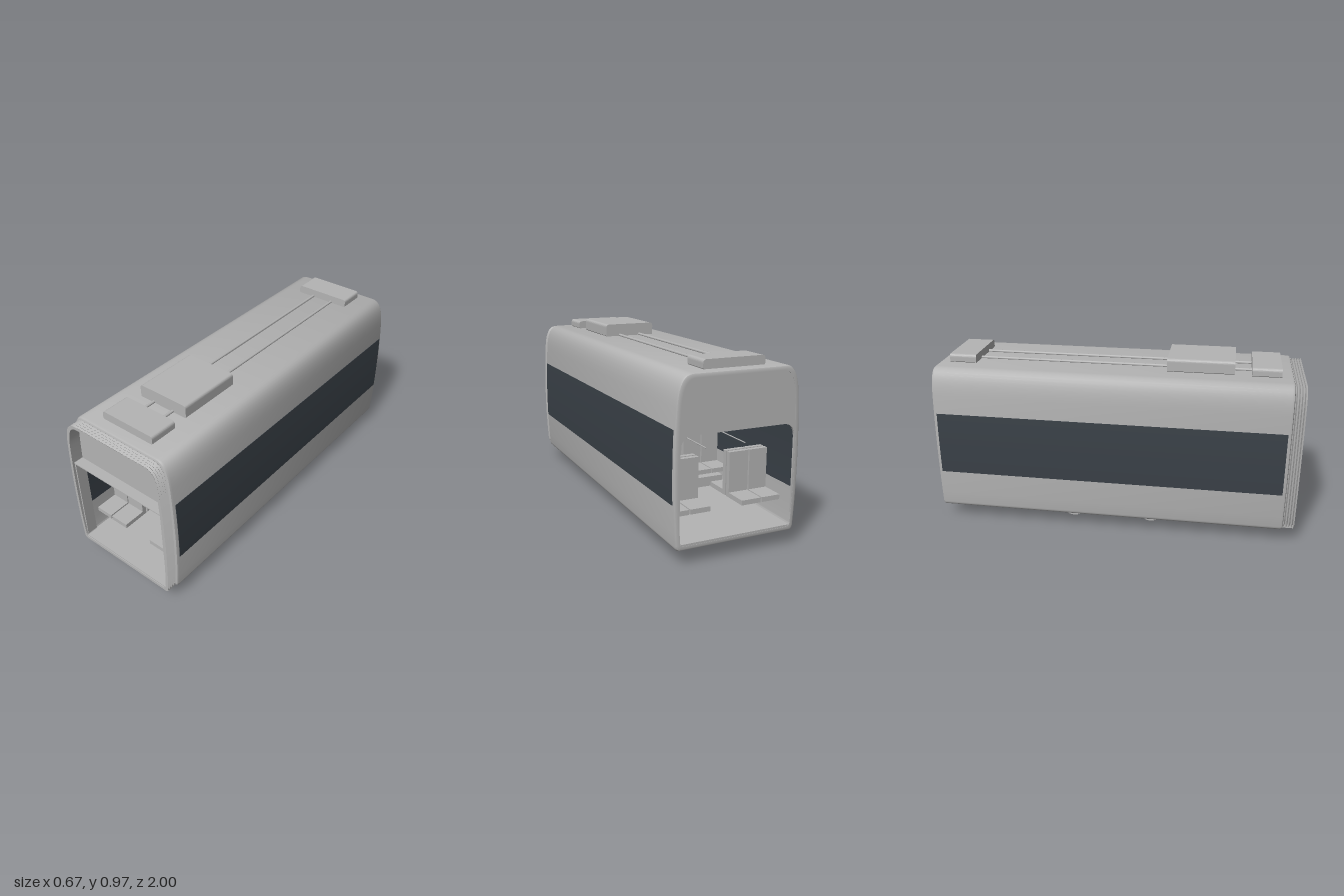
import * as THREE from 'three';
import { toCreasedNormals } from 'three/addons/utils/BufferGeometryUtils.js';

const grey = new THREE.MeshStandardMaterial({ color: 0xb4b4b4 });
grey.name = 'body grey';
const glass = new THREE.MeshStandardMaterial({ color: 0x3a4148 });
glass.name = 'dark glass';

// Body cross-section, counter-clockwise from the bottom centre
function bodyProfile() {
  const s = new THREE.Shape();
  s.moveTo(0, 0.078);
  s.lineTo(0.3, 0.078);
  s.quadraticCurveTo(0.317, 0.078, 0.32, 0.1);
  s.quadraticCurveTo(0.343, 0.42, 0.322, 0.75);
  s.bezierCurveTo(0.315, 0.86, 0.29, 0.9, 0.24, 0.9);
  s.lineTo(0, 0.9);
  const half = s.getPoints(10);
  const mirrored = half.slice(1, -1).reverse().map((p) => new THREE.Vector2(-p.x, p.y));
  return { half, full: [...half, ...mirrored] };
}
const { half, full } = bodyProfile();

const inset = (p, d) =>
  new THREE.Vector2(p.x * (1 - d / 0.333), 0.489 + (p.y - 0.489) * (1 - d / 0.411));

function halfWidth(y) {
  for (let i = 1; i < half.length; i++) {
    const a = half[i - 1], b = half[i];
    if (y >= a.y && y <= b.y && b.y > a.y) return a.x + ((b.x - a.x) * (y - a.y)) / (b.y - a.y);
  }
  return 0.3;
}

// Closed tube of body sections; each ring is [z, inset]
function loft(rings) {
  const n = full.length, pos = [], idx = [];
  for (const [z, d] of rings) {
    for (const p of full) {
      const q = inset(p, d);
      pos.push(q.x, q.y, z);
    }
  }
  for (let i = 0; i < rings.length; i++) {
    const k = (i + 1) % rings.length;
    for (let j = 0; j < n; j++) {
      const m = (j + 1) % n;
      const a = i * n + j, b = i * n + m, c = k * n + m, d = k * n + j;
      idx.push(a, b, c, a, c, d);
    }
  }
  const g = new THREE.BufferGeometry();
  g.setAttribute('position', new THREE.Float32BufferAttribute(pos, 3));
  g.setIndex(idx);
  return toCreasedNormals(g, 0.6);
}

export function createModel() {
  const model = new THREE.Group();
  model.name = 'tramSection';

  const add = (name, geo, mat = grey, parent = model) => {
    const m = new THREE.Mesh(geo, mat);
    m.name = name;
    parent.add(m);
    return m;
  };
  // Box given by its limits
  const box = (name, x0, x1, y0, y1, z0, z1, mat, parent) =>
    add(name, new THREE.BoxGeometry(x1 - x0, y1 - y0, z1 - z0), mat, parent)
      .position.set((x0 + x1) / 2, (y0 + y1) / 2, (z0 + z1) / 2);
  const cylinder = (name, r, length, axis, x, y, z, sides = 24) => {
    const g = new THREE.CylinderGeometry(r, r, length, sides);
    if (axis === 'x') g.rotateZ(Math.PI / 2);
    if (axis === 'z') g.rotateX(Math.PI / 2);
    add(name, g).position.set(x, y, z);
  };
  const extrude = (name, shape, z0, z1, mat) =>
    add(name, new THREE.ExtrudeGeometry(shape, { depth: z1 - z0, bevelEnabled: false, curveSegments: 8 }), mat)
      .position.z = z0;

  // Hollow body with softened ends
  add('bodyShell', loft([
    [-1, 0.01], [-0.997, 0.004], [-0.988, 0], [0.926, 0], [0.936, 0.004], [0.94, 0.012],
    [0.94, 0.022], [-1, 0.022],
  ]));

  // Folded gangway bellows
  const folds = [];
  for (let i = 0; i <= 10; i++) folds.push([0.93 + i * 0.007, i % 2 ? 0.018 : 0.01]);
  add('bellows', loft([...folds, [1, 0.026], [0.93, 0.026]]));

  // End bulkheads with a rounded opening
  for (const [name, z] of [['rearBulkhead', -0.999], ['frontBulkhead', 0.925]]) {
    const s = new THREE.Shape(full.map((p) => inset(p, 0.012)));
    const h = new THREE.Path();
    h.moveTo(-0.302, 0.11);
    h.lineTo(0.302, 0.11);
    h.lineTo(0.302, 0.55);
    h.quadraticCurveTo(0.3, 0.62, 0.24, 0.62);
    h.lineTo(-0.24, 0.62);
    h.quadraticCurveTo(-0.3, 0.62, -0.302, 0.55);
    s.holes.push(h);
    extrude(name, s, z, z + 0.01);
  }

  // Gangway liner and floor
  for (const s of [-1, 1]) {
    const x = s * 0.296;
    box('gangwaySide', x - 0.004, x + 0.004, 0.11, 0.614, 0.93, 0.99);
  }
  box('gangwayTop', -0.31, 0.31, 0.614, 0.62, 0.93, 0.99);
  box('floor', -0.305, 0.305, 0.09, 0.11, -0.995, 0.995);

  // Window bands, outside and inside
  for (const s of [-1, 1]) {
    for (const [name, a, b] of [['outerWindow', -0.005, 0.002], ['innerWindow', -0.025, -0.018]]) {
      const near = [], far = [];
      for (let i = 0; i <= 10; i++) {
        const y = 0.3 + 0.035 * i;
        near.push(new THREE.Vector2(s * (halfWidth(y) + a), y));
        far.unshift(new THREE.Vector2(s * (halfWidth(y) + b), y));
      }
      extrude(name, new THREE.Shape([...near, ...far]), -0.98, 0.92, glass);
    }
  }

  // Roof equipment
  const roofUnit = (name, w, y1, z0, z1) => {
    const r = 0.018, y0 = 0.895, s = new THREE.Shape();
    s.moveTo(-w + r / 2, y0);
    s.lineTo(w - r / 2, y0);
    s.lineTo(w, y0 + r / 2);
    s.lineTo(w, y1 - r);
    s.quadraticCurveTo(w, y1, w - r, y1);
    s.lineTo(-w + r, y1);
    s.quadraticCurveTo(-w, y1, -w, y1 - r);
    s.lineTo(-w, y0 + r / 2);
    extrude(name, s, z0, z1);
  };
  roofUnit('frontRoofBox', 0.163, 0.945, 0.72, 0.875);
  roofUnit('rearRoofBox', 0.163, 0.945, -0.94, -0.79);
  roofUnit('airConditioner', 0.15, 0.97, 0.27, 0.63);
  for (const x of [-0.063, 0.063]) cylinder('roofPipe', 0.008, 1.52, 'z', x, 0.905, -0.035, 12);

  // Seats, back to back; dir is the way the seat faces
  const seat = (x0, x1, z, dir) => {
    const g = new THREE.Group();
    g.name = 'seat';
    box('cushion', x0, x1, 0.205, 0.23, 0, 0.125, grey, g);
    box('backrest', x0, x1, 0.205, 0.44, -0.025, 0, grey, g);
    g.position.z = z;
    g.scale.z = dir;
    model.add(g);
  };
  for (const z of [0.735, 0.2, -0.25, -0.745]) {
    for (const [x0, x1] of [[-0.305, -0.202], [-0.195, -0.087], [0.087, 0.195], [0.202, 0.305]]) {
      seat(x0, x1, z + 0.03, 1);
      seat(x0, x1, z - 0.03, -1);
    }
  }

  // Handrails and hanging display
  for (const x of [-0.107, 0.107]) cylinder('handrail', 0.003, 1.7, 'z', x, 0.515, -0.03, 8);
  cylinder('displayHanger', 0.004, 0.29, 'y', 0, 0.74, 0, 8);
  box('displayFrame', -0.078, 0.078, 0.549, 0.6, -0.012, 0.012);
  for (const z of [-0.013, 0.013]) box('displayScreen', -0.07, 0.07, 0.555, 0.595, z - 0.002, z + 0.002, glass);

  // Running gear, with covers inside the saloon
  for (const z of [0.2, -0.25]) {
    cylinder('axle', 0.012, 0.38, 'x', 0, 0.075, z, 12);
    for (const s of [-1, 1]) {
      cylinder('wheelFlange', 0.075, 0.014, 'x', s * 0.183, 0.075, z, 32);
      cylinder('wheelTread', 0.065, 0.022, 'x', s * 0.196, 0.075, z, 32);
      cylinder('brakeDisc', 0.045, 0.014, 'x', s * 0.12, 0.075, z);
      box('axleBox', s * 0.217 - 0.016, s * 0.217 + 0.016, 0.06, 0.09, z - 0.03, z + 0.03);
      cylinder('spring', 0.024, 0.1, 'y', s * 0.215, 0.135, z);
      box('wheelCover', s * 0.1925 - 0.1125, s * 0.1925 + 0.1125, 0.105, 0.165, z - 0.1, z + 0.1);
    }
  }
  for (const z of [0.085, -0.14]) cylinder('motor', 0.041, 0.21, 'x', 0, 0.089, z);

  return model;
}
